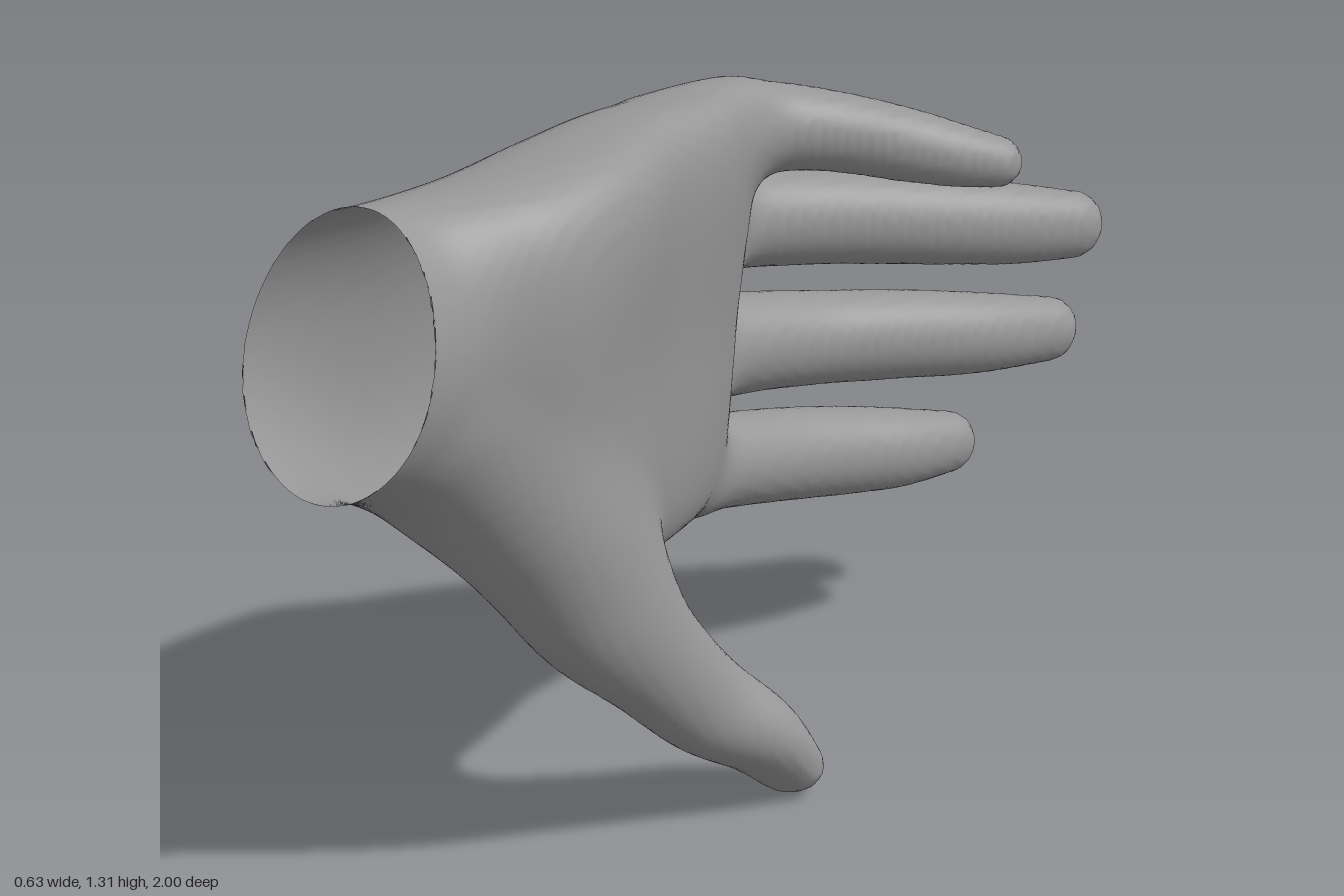
import * as THREE from 'three';

const CELL = 0.015;
const MIN = [-0.38, -0.05, -1.06];
const SIZE = [50, 95, 142];
const STRIDE = [1, SIZE[0], SIZE[0] * SIZE[1]];
const material = new THREE.MeshStandardMaterial({ color: 0x979797, side: THREE.DoubleSide });

// Smooth interpolation through rows of numbers, u from 0 to 1
function sample(rows, u) {
  const last = rows.length - 1;
  const f = Math.min(Math.max(u, 0), 1) * last;
  const i = Math.min(Math.floor(f), last - 1);
  const t = f - i;
  const row = k => rows[Math.min(Math.max(k, 0), last)];
  return rows[i].map((p1, c) => {
    const p0 = row(i - 1)[c], p2 = row(i + 1)[c], p3 = row(i + 2)[c];
    return p1 + 0.5 * t * (p2 - p0 + t * (2 * p0 - 5 * p1 + 4 * p2 - p3 + t * (3 * (p1 - p2) + p3 - p0)));
  });
}

// Union of two distances with a fillet of size k
function blend(a, b, k) {
  const h = Math.max(k - Math.abs(a - b), 0) / k;
  return Math.min(a, b) - h * h * k / 4;
}

// Palm and wrist sections every 0.2 from z = 1 to z = -0.4:
// top, bottom, back, palm side, cupping, tilt, squareness
const palmRows = [
  [1.31, 0.85, -0.255, 0.135, 0, 0, 2],
  [1.285, 0.755, -0.27, 0.1, 0, 0.015, 2.1],
  [1.295, 0.6, -0.295, 0.15, 0.04, 0.03, 2.5],
  [1.31, 0.52, -0.31, 0.13, 0.075, 0.03, 2.8],
  [1.305, 0.48, -0.31, 0.065, 0.065, 0.03, 2.8],
  [1.29, 0.465, -0.295, 0.02, 0.055, 0.04, 2.8],
  [1.265, 0.44, -0.265, -0.06, 0.05, 0.05, 2.6],
  [1.24, 0.44, -0.24, -0.1, 0.05, 0.05, 2.6]
];

function palmDistance(x, y, z) {
  const [top, bottom, back, front, cup, tilt, n] = sample(palmRows, (1 - z) / 1.4);
  const hx = (front - back) / 2, hy = (top - bottom) / 2;
  const b = (y - (top + bottom) / 2) / hy;
  const c = Math.min(Math.max(b, -1.2), 1.2);
  const a = (x - (front + back) / 2 - cup * c * c - tilt * c) / hx;
  const k = Math.max((Math.abs(a) ** n + Math.abs(b) ** n) ** (1 / n), 1e-4);
  const slope = Math.hypot((Math.abs(a) / k) ** (n - 1) / hx, (Math.abs(b) / k) ** (n - 1) / hy);
  return -blend(-(k - 1) / slope, z + 0.2, 0.08);
}

// Finger or thumb as a chain of oval sections; rows of x, y, z, half width, half depth
function digit(name, rows) {
  const steps = 36;
  const nodes = Array.from({ length: steps + 1 }, (_, i) => sample(rows, i / steps));
  const box = new THREE.Box3().setFromPoints(nodes.map(p => new THREE.Vector3(...p))).expandByScalar(0.3);
  const links = nodes.slice(1).map((end, i) => {
    const start = nodes[i];
    const along = new THREE.Vector3(end[0] - start[0], end[1] - start[1], end[2] - start[2]);
    const across = new THREE.Vector3(1, 0, 0).cross(along);
    const palmward = along.clone().cross(across).normalize();
    return { start, end, along, palmward, lengthSq: along.lengthSq() };
  });
  const point = new THREE.Vector3(), offset = new THREE.Vector3();
  function distance(x, y, z) {
    point.set(x, y, z);
    if (!box.containsPoint(point)) return 0.2;
    let best = 0.2;
    for (const { start, end, along, palmward, lengthSq } of links) {
      offset.set(x - start[0], y - start[1], z - start[2]);
      const t = Math.min(Math.max(offset.dot(along) / lengthSq, 0), 1);
      offset.addScaledVector(along, -t);
      const width = start[3] + t * (end[3] - start[3]);
      const depth = start[4] + t * (end[4] - start[4]);
      const e = offset.dot(palmward);
      const reach = Math.sqrt(offset.lengthSq() + e * e * ((width / depth) ** 2 - 1));
      best = Math.min(best, reach - width);
    }
    return best;
  }
  return { name, distance };
}

const fingers = [
  digit('indexFinger', [
    [-0.19, 0.55, 0.02, 0.08, 0.07],
    [-0.187, 0.52, -0.14, 0.098, 0.085],
    [-0.172, 0.49, -0.28, 0.092, 0.086],
    [-0.145, 0.46, -0.43, 0.091, 0.086],
    [-0.095, 0.435, -0.57, 0.088, 0.08],
    [-0.04, 0.415, -0.69, 0.08, 0.072],
    [0.01, 0.403, -0.8, 0.064, 0.052]
  ]),
  digit('middleFinger', [
    [-0.2, 0.75, 0, 0.08, 0.07],
    [-0.197, 0.73, -0.15, 0.1, 0.085],
    [-0.165, 0.715, -0.32, 0.097, 0.087],
    [-0.105, 0.69, -0.49, 0.091, 0.086],
    [-0.01, 0.67, -0.65, 0.087, 0.078],
    [0.08, 0.648, -0.8, 0.08, 0.07],
    [0.152, 0.63, -0.94, 0.066, 0.052]
  ]),
  digit('ringFinger', [
    [-0.19, 1.01, 0, 0.08, 0.07],
    [-0.175, 1, -0.14, 0.097, 0.085],
    [-0.12, 0.975, -0.3, 0.092, 0.085],
    [-0.03, 0.955, -0.45, 0.089, 0.081],
    [0.085, 0.93, -0.6, 0.084, 0.074],
    [0.185, 0.908, -0.73, 0.078, 0.064],
    [0.257, 0.893, -0.83, 0.066, 0.05]
  ]),
  digit('littleFinger', [
    [-0.11, 1.19, 0.05, 0.07, 0.07],
    [-0.08, 1.187, -0.1, 0.082, 0.08],
    [-0.035, 1.181, -0.22, 0.081, 0.078],
    [0.05, 1.162, -0.32, 0.073, 0.07],
    [0.15, 1.135, -0.4, 0.067, 0.063],
    [0.22, 1.113, -0.46, 0.058, 0.054],
    [0.272, 1.096, -0.515, 0.048, 0.044]
  ])
];
const thumb = digit('thumb', [
  [-0.02, 0.88, 0.72, 0.07, 0.08],
  [0.02, 0.7, 0.57, 0.125, 0.12],
  [0.05, 0.53, 0.44, 0.14, 0.115],
  [0.085, 0.37, 0.31, 0.108, 0.09],
  [0.11, 0.243, 0.19, 0.094, 0.08],
  [0.142, 0.148, 0.075, 0.076, 0.095],
  [0.16, 0.06, -0.005, 0.056, 0.08]
]);

function handDistance(x, y, z) {
  const spread = fingers.reduce((d, finger) => blend(d, finger.distance(x, y, z), 0.02), 1);
  return blend(blend(palmDistance(x, y, z), spread, 0.06), thumb.distance(x, y, z), 0.1);
}

// Wrist opening: slanted plane
const rimZ = y => 1 - 0.364 * (y - 0.85);

export function createModel() {
  const values = new Float32Array(SIZE[0] * SIZE[1] * SIZE[2]);
  const place = id => [id % SIZE[0], Math.floor(id / STRIDE[1]) % SIZE[1], Math.floor(id / STRIDE[2])];
  for (let id = 0; id < values.length; id++) {
    values[id] = handDistance(...place(id).map((n, axis) => MIN[axis] + n * CELL));
  }

  // One skin point per grid cell, at the mean of its edge crossings
  const positions = [], beyond = [], known = new Map();
  function skinPoint(id) {
    if (known.has(id)) return known.get(id);
    const sum = [0, 0, 0];
    let count = 0;
    for (let corner = 0; corner < 8; corner++) {
      const bits = [corner & 1, corner >> 1 & 1, corner >> 2];
      const from = id + bits[0] * STRIDE[0] + bits[1] * STRIDE[1] + bits[2] * STRIDE[2];
      for (let axis = 0; axis < 3; axis++) {
        const a = values[from], b = values[from + STRIDE[axis]];
        if (bits[axis] || (a < 0) === (b < 0)) continue;
        bits.forEach((bit, n) => { sum[n] += bit + (n === axis ? a / (a - b) : 0); });
        count++;
      }
    }
    const [x, y, z] = place(id).map((n, axis) => MIN[axis] + (n + sum[axis] / count) * CELL);
    positions.push(x, y, Math.min(z, rimZ(y)));
    beyond.push(z > rimZ(y));
    known.set(id, beyond.length - 1);
    return beyond.length - 1;
  }

  // Faces across every grid edge that crosses the skin, sorted by part
  const digits = [...fingers, thumb];
  const faces = { palm: [] };
  digits.forEach(part => { faces[part.name] = []; });
  for (let id = 0; id < values.length; id++) {
    if (place(id).some((n, axis) => n < 1 || n > SIZE[axis] - 2)) continue;
    for (let axis = 0; axis < 3; axis++) {
      const inside = values[id] < 0;
      if (inside === values[id + STRIDE[axis]] < 0) continue;
      const u = STRIDE[(axis + 1) % 3], v = STRIDE[(axis + 2) % 3];
      const [a, b, c, d] = [id - u - v, id - v, id, id - u].map(skinPoint);
      if ([a, b, c, d].every(n => beyond[n])) continue;
      const at = positions.slice(a * 3, a * 3 + 3);
      let name = 'palm', nearest = palmDistance(...at);
      for (const part of digits) {
        const gap = part.distance(...at);
        if (gap < nearest) [name, nearest] = [part.name, gap];
      }
      faces[name].push(...(inside ? [a, b, c, a, c, d] : [a, c, b, a, d, c]));
    }
  }

  // Shared points and normals keep the skin seamless between the parts
  const whole = new THREE.BufferGeometry();
  whole.setAttribute('position', new THREE.Float32BufferAttribute(positions, 3));
  whole.setIndex(Object.values(faces).flat());
  whole.computeVertexNormals();
  const hand = new THREE.Group();
  hand.name = 'hand';
  for (const [name, index] of Object.entries(faces)) {
    const mesh = new THREE.Mesh(whole.clone().setIndex(index), material);
    mesh.name = name;
    hand.add(mesh);
  }
  return hand;
}
